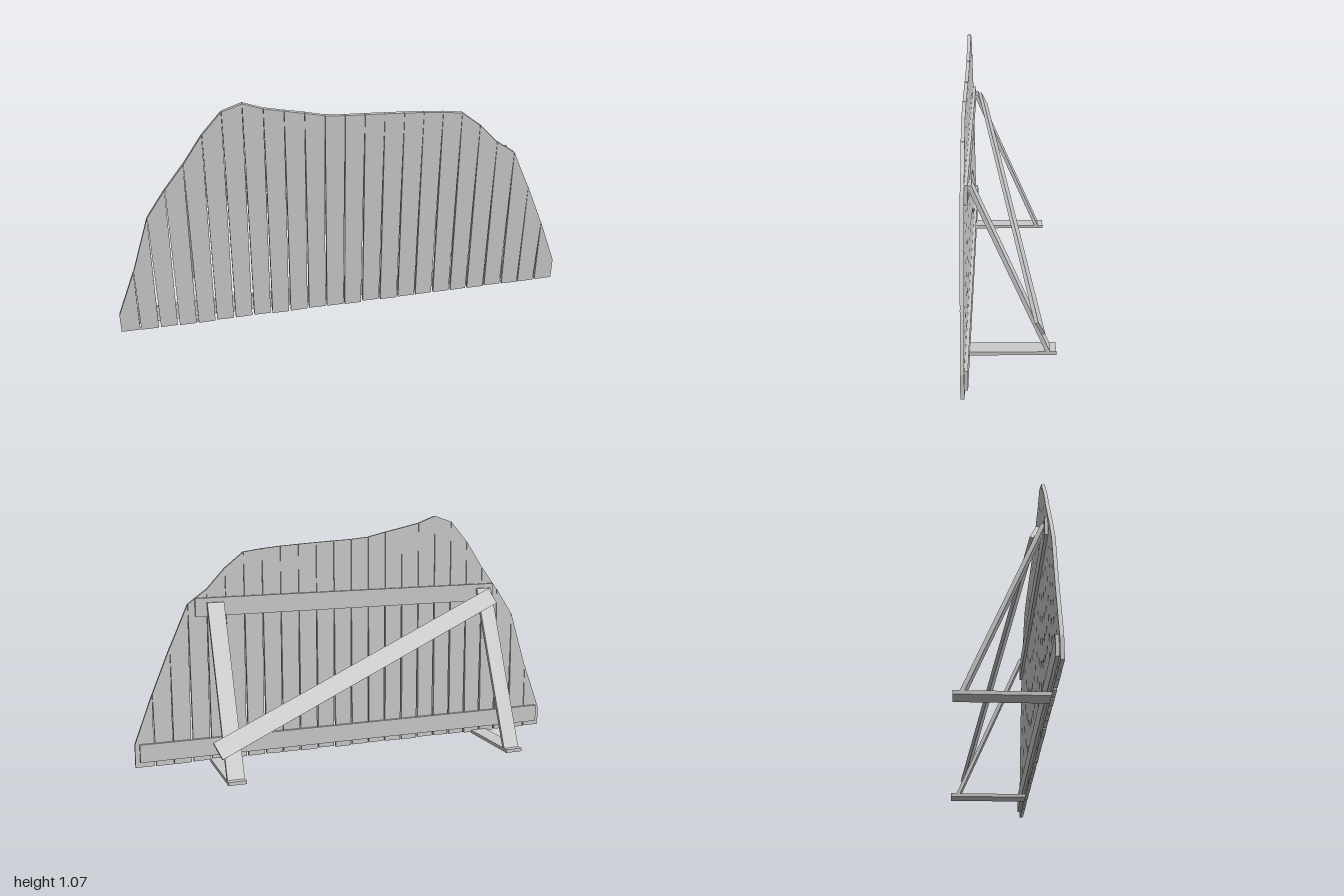
import * as THREE from 'three';

// Free-standing plank panel with a braced support frame behind it.
export function createModel() {
  const model = new THREE.Group();
  const material = new THREE.MeshStandardMaterial({ color: 0xcccccc, flatShading: true });

  const add = (parent, name, geometry, x, y, z) => {
    const mesh = new THREE.Mesh(geometry, material);
    mesh.name = name;
    mesh.position.set(x, y, z);
    parent.add(mesh);
    return mesh;
  };
  const polygon = (points) => new THREE.Shape(points.map(([x, y]) => new THREE.Vector2(x, y)));

  let seed = 7;
  const random = () => (seed = (seed * 16807) % 2147483647) / 2147483647;

  // Panel: upright planks cut to an uneven skyline, gaps narrowing upwards
  const skyline = [
    0.10, 0.32, 0.585, 0.71, 0.82, 0.945, 1.04, 1.068, 1.037, 1.018, 1.0, 0.98, 0.972,
    0.968, 0.963, 0.958, 0.952, 0.944, 0.932, 0.865, 0.775, 0.715, 0.53, 0.33, 0.11,
  ];
  const count = skyline.length - 1;
  const pitch = 2 / count;
  const panel = new THREE.Group();
  panel.name = 'panel';
  model.add(panel);
  for (let i = 0; i < count; i++) {
    const left = -1 + i * pitch;
    const right = left + pitch;
    const gapLeft = i === 0 ? 0 : 0.002 + random() * 0.004;
    const gapRight = i === count - 1 ? 0 : 0.002 + random() * 0.004;
    const bottom = 0.005 + random() * 0.006;
    const shape = polygon([
      [left + gapLeft, bottom],
      [right - gapRight, bottom + (random() - 0.5) * 0.004],
      [right - 0.0005, skyline[i + 1]],
      [left + 0.0005, skyline[i]],
    ]);
    const plank = new THREE.ExtrudeGeometry(shape, { depth: 0.015, bevelEnabled: false });
    add(panel, `plank${i + 1}`, plank, 0, 0, 0.17);
  }

  // Horizontal rails on the back of the planks
  add(model, 'lowerRail', new THREE.BoxGeometry(1.96, 0.08, 0.013), 0, 0.072, 0.1635);
  add(model, 'upperRail', new THREE.BoxGeometry(1.44, 0.08, 0.013), 0, 0.7, 0.1635);

  // Two supports, each a flat foot and a leaning leg with mitred ends
  const legProfile = polygon([
    [-0.16, 0.014], [-0.142, 0.014], [0.157, 0.705], [0.157, 0.72], [0.145, 0.72],
  ]);
  const legGeometry = new THREE.ExtrudeGeometry(legProfile, { depth: 0.074, bevelEnabled: false });
  legGeometry.translate(0, 0, -0.037).rotateY(-Math.PI / 2);
  for (const [side, x] of [['right', -0.667], ['left', 0.633]]) {
    const support = new THREE.Group();
    support.name = `${side}Support`;
    model.add(support);
    add(support, `${side}Foot`, new THREE.BoxGeometry(0.078, 0.015, 0.355), x, 0.0075, -0.0075);
    add(support, `${side}Leg`, legGeometry, x, 0, 0);
  }

  // Diagonal brace lying on the back of the legs
  const bracePlane = new THREE.Group();
  bracePlane.name = 'brace';
  bracePlane.position.set(0, 0.408, 0.0015);
  bracePlane.rotation.x = 0.409;
  model.add(bracePlane);
  const brace = add(bracePlane, 'diagonalBrace', new THREE.BoxGeometry(1.52, 0.08, 0.015), 0, 0, 0);
  brace.rotation.z = -0.407;

  return model;
}
